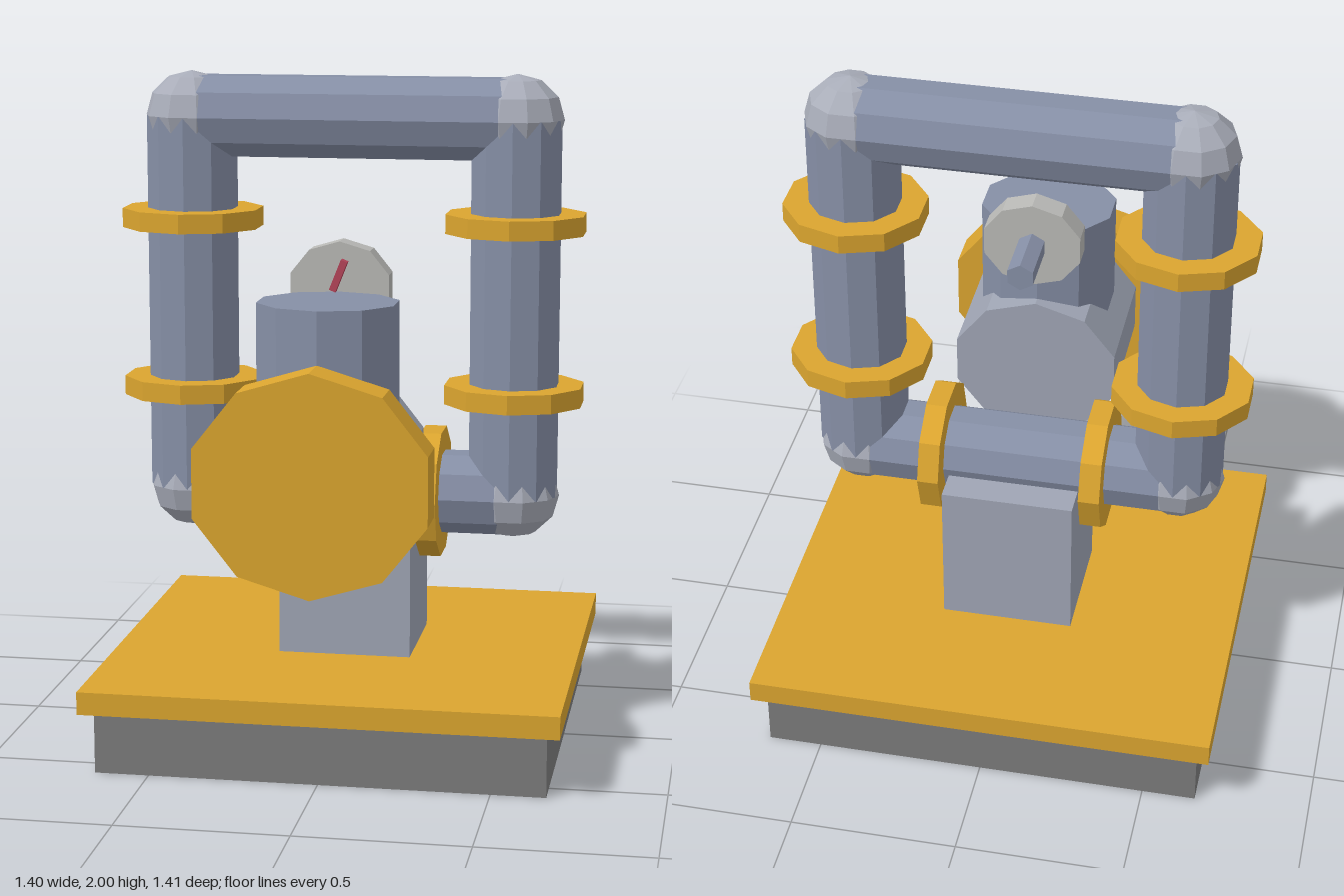
import * as THREE from 'three';

const paint = (color) => new THREE.MeshStandardMaterial({ color, flatShading: true });

export function createModel() {
  const model = new THREE.Group();
  const steel = paint(0x868fa6);
  const paleSteel = paint(0x9fa5b4);
  const elbowSteel = paint(0xa9adb9);
  const yellow = paint(0xdba52f);
  const darkGrey = paint(0x7b7b7b);
  const dialGrey = paint(0xb9b9b6);
  const red = paint(0xb5455a);

  function add(name, geometry, material, x, y, z) {
    const mesh = new THREE.Mesh(geometry, material);
    mesh.name = name;
    mesh.position.set(x, y, z);
    model.add(mesh);
    return mesh;
  }

  // Ten-sided cylinder along an axis; a and b are its two radii
  // (x: y,z radii / y: x,z radii / z: x,y radii)
  function round(axis, a, b, length, sides = 10) {
    const g = new THREE.CylinderGeometry(1, 1, length, sides);
    g.scale(a, 1, b);
    if (axis === 'x') g.rotateZ(Math.PI / 2);
    if (axis === 'z') g.rotateX(Math.PI / 2);
    return g;
  }

  const box = (w, h, d) => new THREE.BoxGeometry(w, h, d);

  // Base and pedestal
  add('base', box(1.32, 0.19, 1.245), darkGrey, 0, 0.095, -0.04);
  add('basePlate', box(1.4, 0.068, 1.33), yellow, 0, 0.221, -0.04);
  add('pedestal', box(0.4, 0.455, 0.375), paleSteel, 0, 0.4825, -0.068);

  // Rectangular pipe loop
  const pipeX = 0.49, pipeZ = -0.04, low = 0.738, high = 1.867;
  for (const y of [low, high]) {
    add('crossPipe', round('x', 0.126, 0.128, 2 * pipeX), steel, 0, y, pipeZ);
  }
  for (const side of [-1, 1]) {
    const x = side * pipeX;
    add('uprightPipe', round('y', 0.1365, 0.128, high - low), steel, x, (low + high) / 2, pipeZ);
    for (const y of [low, high]) {
      const ball = new THREE.SphereGeometry(1, 10, 6).scale(0.14, 0.133, 0.135);
      add('elbow', ball, elbowSteel, x, y, pipeZ);
    }
    // Flange rings
    for (const y of [1.047, 1.56]) {
      add('uprightFlange', round('y', 0.214, 0.202, 0.058), yellow, x, y, pipeZ);
    }
    add('lowerFlange', round('x', 0.199, 0.202, 0.064), yellow, side * 0.247, low, pipeZ);
  }

  // Pump body with its front cover and top chamber
  add('pumpBody', round('z', 0.26, 0.24, 0.42), paleSteel, 0, 0.904, 0.39);
  add('frontCover', round('z', 0.35, 0.323, 0.128), yellow, 0, 0.904, 0.641);
  add('topChamber', round('y', 0.208, 0.186, 0.48), steel, 0, 1.14, 0.394);

  // Pressure gauge
  add('gaugeDial', round('z', 0.153, 0.138, 0.074), dialGrey, 0, 1.388, 0.163);
  add('gaugeStem', round('z', 0.044, 0.043, 0.2, 6), steel, 0, 1.388, 0.05);
  const needle = add('gaugeNeedle', box(0.02, 0.095, 0.03), red, 0, 1.428, 0.213);
  needle.rotation.z = -0.38;

  return model;
}
